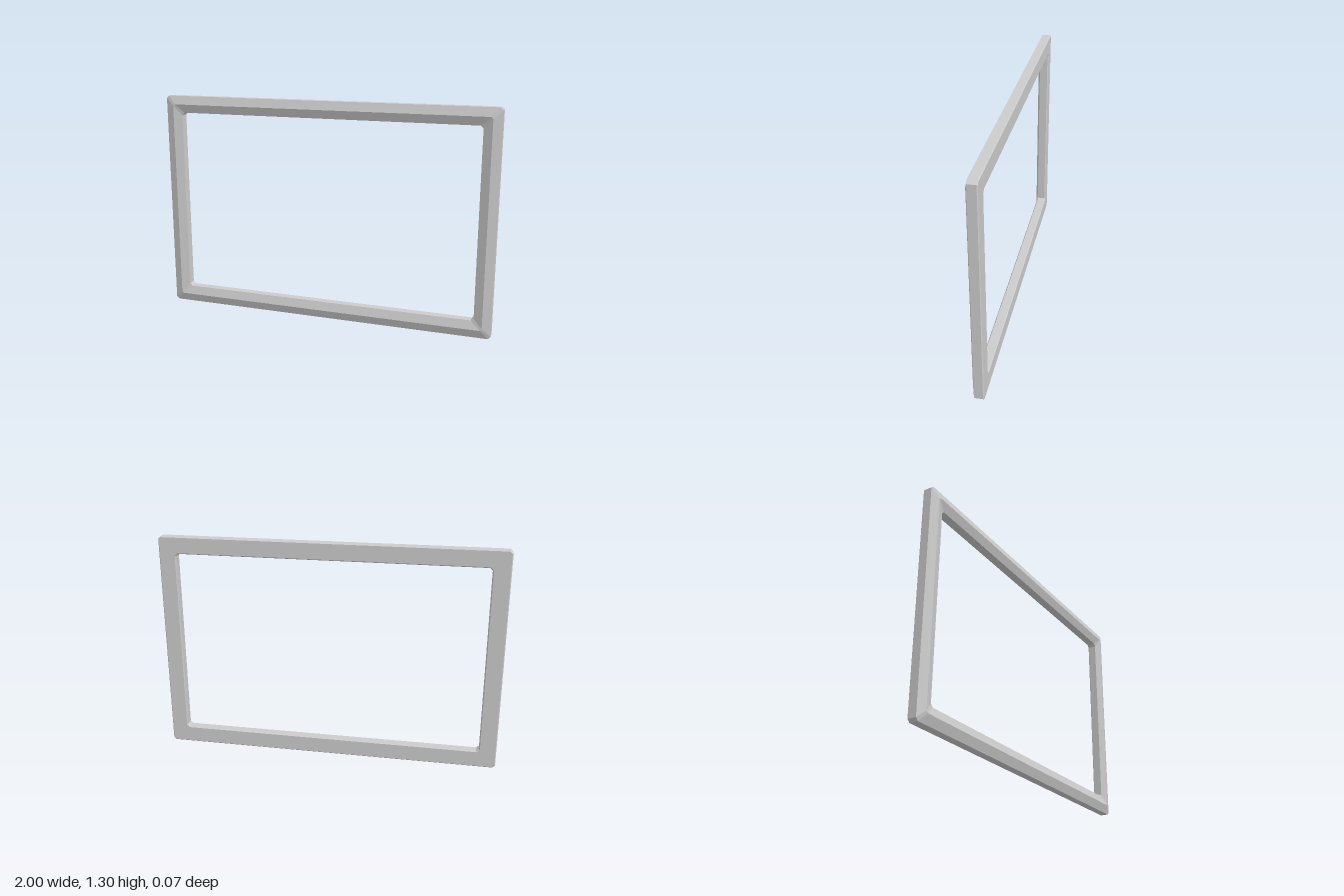
import * as THREE from 'three';

const WIDTH = 2, HEIGHT = 1.305;

// Cross-section of the moulding: [inset from outer edge, z, corner chamfer]
const PROFILE = [
  [0.005, -0.035, 0.014],
  [0, -0.03, 0.015],
  [0, 0.018, 0.015],
  [0.05, 0.035, 0.01],
  [0.1, 0.018, 0.015],
  [0.1, -0.03, 0.015],
  [0.095, -0.035, 0.016],
];

// Rectangle with chamfered corners, counter-clockwise seen from the front
function ring([inset, z, c]) {
  const w = WIDTH / 2 - inset, h = HEIGHT / 2 - inset, y = HEIGHT / 2;
  return [
    [w, -h + c], [w, h - c], [w - c, h], [-w + c, h],
    [-w, h - c], [-w, -h + c], [-w + c, -h], [w - c, -h],
  ].map(([px, py]) => [px, py + y, z]);
}

// Join neighbouring rings, closing the section around the moulding
function frameGeometry() {
  const rings = PROFILE.map(ring);
  const positions = [];
  rings.forEach((r, j) => {
    const next = rings[(j + 1) % rings.length];
    for (let i = 0; i < r.length; i++) {
      const k = (i + 1) % r.length;
      positions.push(...r[i], ...r[k], ...next[k], ...r[i], ...next[k], ...next[i]);
    }
  });
  const geometry = new THREE.BufferGeometry();
  geometry.setAttribute('position', new THREE.Float32BufferAttribute(positions, 3));
  geometry.computeVertexNormals();
  return geometry;
}

export function createModel() {
  const group = new THREE.Group();
  group.name = 'pictureFrame';
  const material = new THREE.MeshStandardMaterial({ color: 0xcccccc, flatShading: true });
  const frame = new THREE.Mesh(frameGeometry(), material);
  frame.name = 'frameMoulding';
  group.add(frame);
  return group;
}
